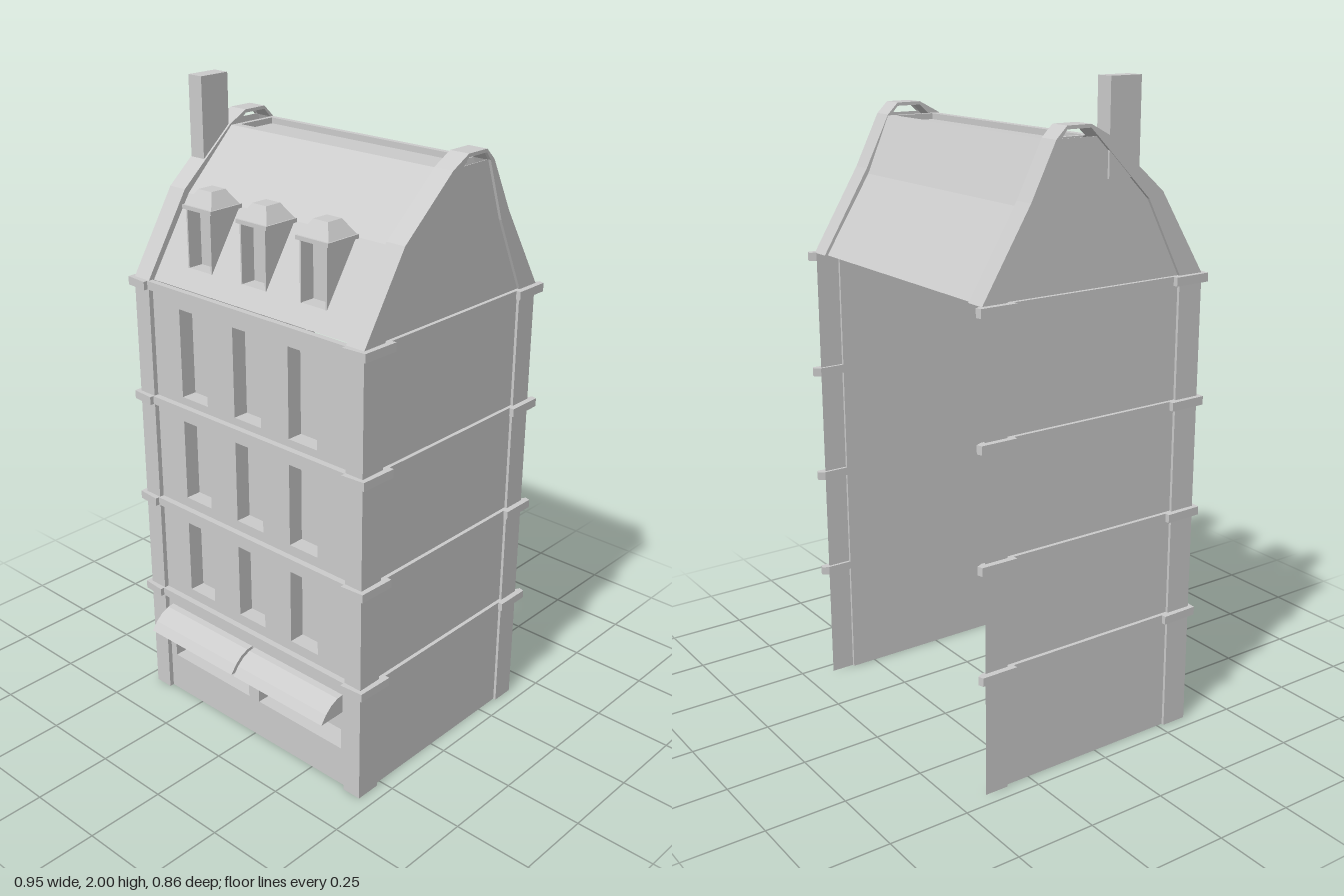
import * as THREE from 'three';

const material = new THREE.MeshStandardMaterial({ color: 0xcccccc, flatShading: true, side: THREE.DoubleSide });

const toShape = (pts) => new THREE.Shape(pts.map(([a, b]) => new THREE.Vector2(a, b)));
const rect = (x0, x1, y0, y1) => [[x0, y0], [x1, y0], [x1, y1], [x0, y1]];

export function createModel() {
  const root = new THREE.Group();
  const add = (name, geometry, parent = root) => {
    const mesh = new THREE.Mesh(geometry, material);
    mesh.name = name;
    parent.add(mesh);
    return mesh;
  };
  const box = (x0, x1, y0, y1, z0, z1) =>
    new THREE.BoxGeometry(x1 - x0, y1 - y0, z1 - z0).translate((x0 + x1) / 2, (y0 + y1) / 2, (z0 + z1) / 2);

  // box with its front face missing, for window niches
  const niche = (...size) => {
    const g = box(...size);
    g.setIndex([...g.index.array].filter((_, i) => i < 24 || i >= 30));
    g.clearGroups();
    return g;
  };
  // closed (z, y) outline extruded from x0 to x1
  const alongX = (pts, x0, x1) =>
    new THREE.ExtrudeGeometry(toShape(pts), { depth: x1 - x0, bevelEnabled: false })
      .rotateY(-Math.PI / 2).translate(x1, 0, 0);
  // closed (x, z) plan extruded upward from y0 to y1
  const upward = (pts, y0, y1) =>
    new THREE.ExtrudeGeometry(toShape(pts.map(([x, z]) => [x, -z])), { depth: y1 - y0, bevelEnabled: false })
      .rotateX(-Math.PI / 2).translate(0, y0, 0);
  // open sheet through (a, b) points, pushed along the third axis
  const sheet = (pts, c0, c1, place) => {
    const pos = [];
    for (let i = 0; i < pts.length - 1; i++) {
      const [p, q] = [pts[i], pts[i + 1]];
      for (const [s, c] of [[p, c0], [q, c0], [q, c1], [p, c0], [q, c1], [p, c1]]) pos.push(...place(s, c));
    }
    const g = new THREE.BufferGeometry();
    g.setAttribute('position', new THREE.Float32BufferAttribute(pos, 3));
    g.computeVertexNormals();
    return g;
  };
  const wallSheet = (pts, y0, y1) => sheet(pts, y0, y1, ([x, z], y) => [x, y, z]);
  const roofSheet = (pts, x0, x1) => sheet(pts, x0, x1, ([z, y], x) => [x, y, z]);
  const withHoles = (outline, holes) => {
    const s = toShape(outline);
    s.holes = holes.map((h) => new THREE.Path(toShape(h).getPoints()));
    return new THREE.ShapeGeometry(s);
  };

  const EAVE = 1.435, FRONT = 0.338, BAND = 0.393;

  // front wall with window and shop openings
  const openings = [];
  for (const [y0, y1] of [[0.42, 0.66], [0.75, 1.01], [1.09, 1.37]])
    for (const x of [-0.225, 0, 0.22]) openings.push(['window', x - 0.055, x + 0.055, y0, y1, 0.05]);
  openings.push(['shopWindow', -0.37, -0.025, 0.13, 0.315, 0.07], ['shopWindow', 0.02, 0.37, 0.13, 0.315, 0.07]);
  add('frontWall', withHoles(rect(-0.395, 0.395, 0, EAVE), openings.map((o) => rect(...o.slice(1, 5)))))
    .position.z = FRONT;
  for (const [name, x0, x1, y0, y1, depth] of openings) add(name, niche(x0, x1, y0, y1, FRONT - depth, FRONT));

  // side walls with shallow corner pilasters, back left open
  const sidePlan = [[0.457, -0.405], [0.457, -0.33], [0.448, -0.33], [0.448, 0.27], [0.457, 0.27],
    [0.457, 0.353], [0.395, 0.353], [0.395, FRONT]];
  for (const s of [1, -1])
    add(s > 0 ? 'leftWall' : 'rightWall', wallSheet(sidePlan.map(([x, z]) => [s * x, z]), 0, EAVE));

  // string courses, wider around the corners
  const half = [[0.448, -0.41], [0.458, -0.43], [0.475, -0.425], [0.475, -0.31], [0.46, -0.31],
    [0.46, 0.245], [0.475, 0.245], [0.472, 0.365], [0.395, 0.371], [0.395, 0.358]];
  const inner = [[0.395, FRONT], [0.395, 0.35], [0.448, 0.35]];
  const mirror = (pts) => pts.map(([x, z]) => [-x, z]).reverse();
  const coursePlan = [...half, ...mirror(half), ...mirror(inner), ...inner];
  for (const y of [0.36, 0.692, 1.04, 1.41]) add('stringCourse', upward(coursePlan, y, y + 0.026));

  // awnings over the shop windows
  const awning = [[FRONT, 0.265], [FRONT, 0.326], [0.36, 0.324], [0.387, 0.312], [0.41, 0.292], [0.43, 0.265]];
  for (const [x0, x1] of [[-0.375, -0.005], [0.005, 0.375]]) add('awning', alongX(awning, x0, x1));

  // lower front roof slope, pierced by the dormers
  const slope = [[0.333, EAVE], [0.182, 1.668]];
  const dormerX = [-0.225, -0.005, 0.225];
  const lowerRoof = withHoles(rect(-BAND, BAND, EAVE, 1.668), dormerX.map((x) => rect(x - 0.045, x + 0.045, 1.49, 1.662)));
  const p = lowerRoof.attributes.position;
  for (let i = 0; i < p.count; i++) {
    const t = (p.getY(i) - slope[0][1]) / (slope[1][1] - slope[0][1]);
    p.setZ(i, THREE.MathUtils.lerp(slope[0][0], slope[1][0], t));
  }
  lowerRoof.computeVertexNormals();
  add('lowerFrontRoof', lowerRoof);
  add('upperFrontRoof', roofSheet([slope[1], [0, 1.843]], -BAND, BAND));
  add('backRoof', roofSheet([[-0.175, 1.843], [-0.25, 1.672], [-0.4, EAVE]], -BAND, BAND));

  // flat ridge: raised rim around a sunken panel
  const rim = withHoles(rect(-BAND, BAND, 0, 0.175), [rect(-0.378, 0.378, 0.025, 0.157)]);
  add('ridgeRim', rim.rotateX(-Math.PI / 2).translate(0, 1.843, 0));
  const panelWell = box(-0.378, 0.378, 1.825, 1.843, -0.157, -0.025);
  panelWell.setIndex([...panelWell.index.array].filter((_, i) => i < 12 || i >= 18));
  panelWell.clearGroups();
  add('ridgePanel', panelWell);

  // gable ends: roof band, raised face border and wall
  const bandOuter = [[0.353, EAVE], [0.197, 1.682], [0.005, 1.846], [-0.06, 1.88], [-0.14, 1.88],
    [-0.175, 1.846], [-0.255, 1.688], [-0.41, EAVE]];
  const bandInner = [[-0.4, EAVE], [-0.25, 1.672], [-0.165, 1.843], [-0.14, 1.87], [-0.06, 1.87],
    [-0.03, 1.843], [0.182, 1.668], [0.333, EAVE]];
  const gable = [[-0.33, EAVE], [-0.222, 1.665], [-0.158, 1.846], [-0.035, 1.846], [0.148, 1.665], [0.27, EAVE]];
  const border = [...bandOuter, gable[0], gable[1], gable[2], [-0.14, 1.87], [-0.06, 1.87], gable[3], gable[4], gable[5]];
  for (const s of [1, -1]) {
    const span = (a, b) => (s > 0 ? [a, b] : [-b, -a]);
    const end = new THREE.Group();
    end.name = s > 0 ? 'leftGable' : 'rightGable';
    root.add(end);
    add('gableBand', alongX([...bandOuter, ...bandInner], ...span(BAND, 0.456)), end);
    add('gableBorder', alongX(border, ...span(0.447, 0.457)), end);
    add('gableWall', alongX(gable, ...span(0.446, 0.448)), end);
  }

  // dormers: window niche, triangular cheeks and hipped cap
  for (const x of dormerX) {
    const dormer = new THREE.Group();
    dormer.name = 'dormer';
    dormer.position.x = x;
    root.add(dormer);
    add('dormerWindow', niche(-0.045, 0.045, 1.49, 1.666, 0.25, 0.298), dormer);
    for (const x0 of [-0.05, 0.045])
      add('dormerCheek', alongX([[0.298, 1.488], [0.298, 1.668], [0.18, 1.668]], x0, x0 + 0.005), dormer);
    add('dormerEave', box(-0.06, 0.06, 1.666, 1.678, 0.182, 0.304), dormer);
    add('dormerCap', new THREE.CylinderGeometry(0.027 * Math.SQRT2, 0.056 * Math.SQRT2, 0.044, 4)
      .rotateY(Math.PI / 4).translate(0, 1.7, 0.242), dormer);
  }

  // chimney on the right gable
  add('chimney', box(-0.455, -0.4, 1.73, 2, 0.005, 0.11));
  return root;
}
